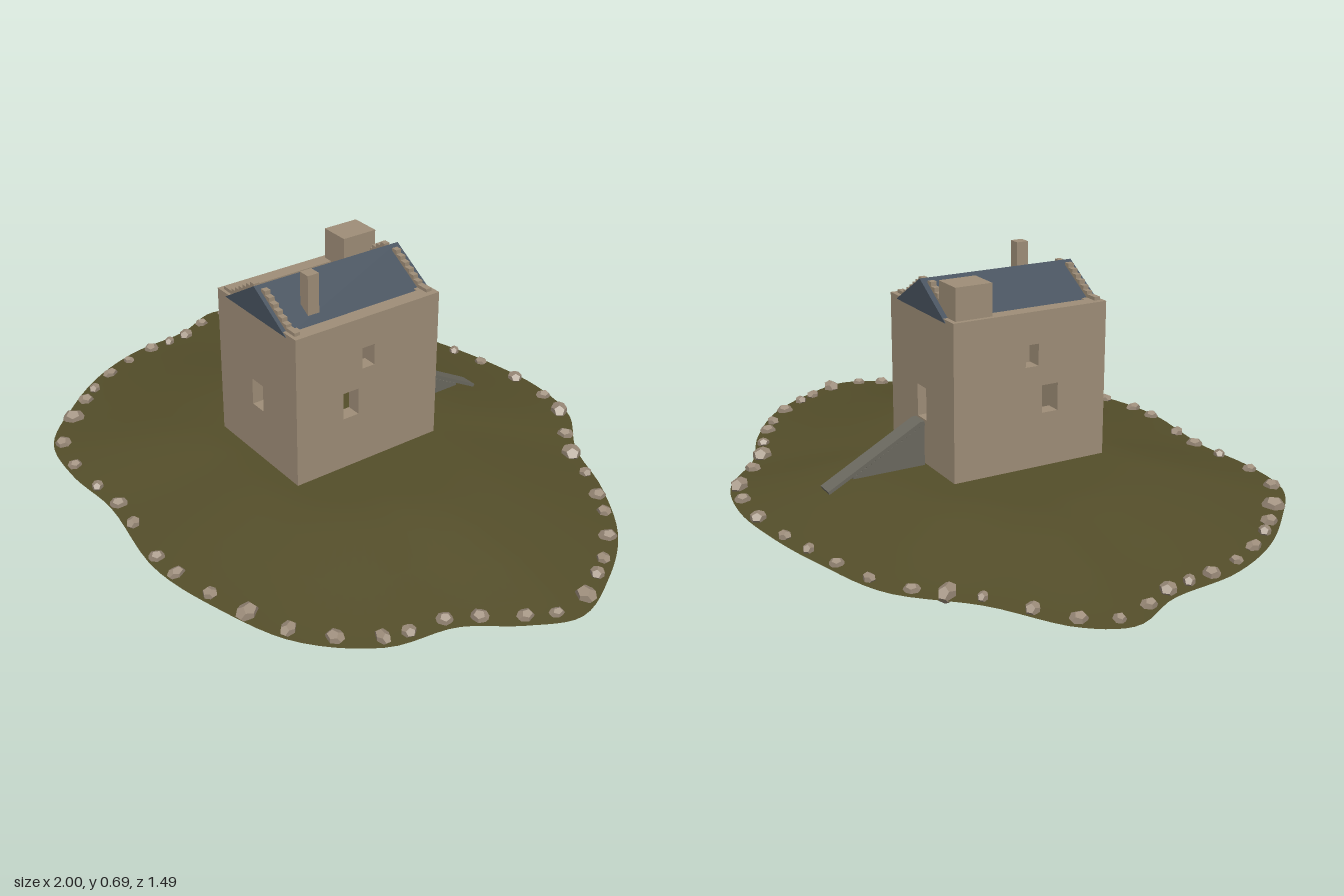
import * as THREE from 'three';

export function createModel() {
  const model = new THREE.Group();
  const mat = (name, color) => {
    const m = new THREE.MeshStandardMaterial({ color });
    m.name = name;
    return m;
  };
  const stone = mat('tan stone', 0x9f8e78);
  const slate = mat('blue slate', 0x47525e);
  const grass = mat('dark grass', 0x544e2a);
  grass.side = THREE.DoubleSide;
  const grey = mat('grey stair stone', 0x6b695f);
  const rock = mat('shore rock', 0x9c8c7a);
  rock.flatShading = true;

  const add = (name, geometry, material, parent = model) => {
    const mesh = new THREE.Mesh(geometry, material);
    mesh.name = name;
    parent.add(mesh);
    return mesh;
  };
  const group = (name) => {
    const g = new THREE.Group();
    g.name = name;
    model.add(g);
    return g;
  };
  // Box given by its lower and upper corners
  const block = (name, x0, x1, y0, y1, z0, z1, material, parent) => {
    const mesh = add(name, new THREE.BoxGeometry(x1 - x0, y1 - y0, z1 - z0), material, parent);
    mesh.position.set((x0 + x1) / 2, (y0 + y1) / 2, (z0 + z1) / 2);
    return mesh;
  };

  // Island mound: open shell with a wavy outline, flat middle sloping to the shore
  const outline = new THREE.CatmullRomCurve3([
    [0.08, -0.75], [0.27, -0.71], [0.43, -0.585], [0.62, -0.50], [0.81, -0.37], [0.93, -0.21],
    [1, -0.04], [0.94, 0.10], [0.845, 0.24], [0.80, 0.43], [0.65, 0.60], [0.43, 0.69],
    [0.19, 0.74], [-0.13, 0.705], [-0.34, 0.72], [-0.53, 0.69], [-0.69, 0.55], [-0.82, 0.39],
    [-0.90, 0.21], [-0.93, 0], [-1, -0.16], [-0.94, -0.28], [-0.74, -0.42], [-0.56, -0.60],
    [-0.34, -0.68], [-0.13, -0.73],
  ].map(([x, z]) => new THREE.Vector3(x, 0, z)), true);
  const N = 144;
  const rim = outline.getPoints(N).slice(0, N);
  const rings = [[0, 0.09], [0.42, 0.09], [0.5, 0.086], [0.6, 0.074], [0.75, 0.052], [0.9, 0.03], [1, 0.021]];
  const positions = [], index = [];
  rings.forEach(([t, y], r) => rim.forEach((p, i) => {
    positions.push(p.x * t, y, p.z * t);
    if (r === rings.length - 1) return;
    const a = r * N + i, b = r * N + (i + 1) % N;
    if (r > 0) index.push(a, b, b + N);
    index.push(a, b + N, a + N);
  }));
  const mound = new THREE.BufferGeometry();
  mound.setAttribute('position', new THREE.Float32BufferAttribute(positions, 3));
  mound.setIndex(index);
  mound.computeVertexNormals();
  add('mound', mound, grass);

  // Shore rocks just inside the outline, a few of them larger
  let seed = 7;
  const rand = () => (seed = (seed * 16807) % 2147483647) / 2147483647;
  const rocks = group('shoreRocks');
  const large = [8, 17, 30, 38, 40, 47];
  for (let i = 0; i < 48; i++) {
    const a = (i / 48) * Math.PI * 2;
    const dir = new THREE.Vector3(0.95 * Math.cos(a), 0, 0.70 * Math.sin(a));
    const shore = rim.reduce((best, p) => (p.angleTo(dir) < best.angleTo(dir) ? p : best));
    const size = 0.017 + 0.006 * rand() + (large.includes(i) ? 0.009 : 0);
    const r = add('rock', new THREE.DodecahedronGeometry(size), rock, rocks);
    r.position.set(shore.x * 0.965, 0.029, shore.z * 0.965);
    r.scale.set(1 + 0.3 * rand(), 0.85, 0.8 + 0.3 * rand());
    r.rotation.y = rand() * 6;
  }

  // Hollow tower walls with openings [u0, u1, y0, y1]
  const X0 = -0.202, X1 = 0.19, Z0 = -0.218, Z1 = 0.276, Y0 = 0.1, Y1 = 0.565, T = 0.045;
  const rect = (path, u0, u1, y0, y1) =>
    path.moveTo(u0, y0).lineTo(u1, y0).lineTo(u1, y1).lineTo(u0, y1).lineTo(u0, y0);
  const wall = (u0, u1, openings) => {
    const shape = new THREE.Shape();
    rect(shape, u0, u1, Y0, Y1);
    for (const o of openings) {
      const hole = new THREE.Path();
      rect(hole, ...o);
      shape.holes.push(hole);
    }
    return new THREE.ExtrudeGeometry(shape, { depth: T, bevelEnabled: false });
  };
  const walls = group('towerWalls');
  add('frontWall', wall(X0, X1, [[-0.033, 0.022, 0.262, 0.345]]), stone, walls).position.z = Z1 - T;
  add('backWall', wall(X0, X1, [[-0.033, 0.022, 0.235, 0.332]]), stone, walls).position.z = Z0;
  for (const x of [X0, X1 - T]) {
    // u runs along -z after the turn
    const side = wall(-Z1 + T, -Z0 - T, [[-0.117, -0.065, 0.262, 0.345], [-0.052, -0.01, 0.405, 0.47]]);
    side.rotateY(Math.PI / 2);
    add('sideWall', side, stone, walls).position.x = x;
  }

  // Slate gable roof
  const RX = -0.006, HALF = 0.153, EAVE = 0.555, RIDGE = 0.648;
  const gable = new THREE.Shape();
  gable.moveTo(RX - HALF, EAVE).lineTo(RX + HALF, EAVE).lineTo(RX, RIDGE).lineTo(RX - HALF, EAVE);
  const roof = new THREE.ExtrudeGeometry(gable, { depth: Z1 - Z0 + 0.004, bevelEnabled: false });
  add('roof', roof, slate).position.z = Z0 - 0.002;

  // Crow steps along both gables, down to the wall heads
  const steps = group('crowSteps');
  for (const z of [0.257, -0.195]) for (const s of [-1, 1]) for (let i = 0; i < 8; i++) {
    const d = 0.028 + i * 0.02;
    const y = Math.max(RIDGE - (RIDGE - EAVE) * d / HALF, 0.562);
    const x = RX + s * d;
    block('crowStep', x - 0.01, x + 0.01, y - 0.014, y + 0.013, z - 0.009, z + 0.009, stone, steps);
  }

  // Corner turret and chimney
  block('capHouse', -0.188, -0.092, 0.555, 0.66, -0.204, -0.09, stone);
  block('chimney', 0.075, 0.112, 0.575, 0.696, 0.143, 0.18, stone);

  // Stair up to the back door: stepped core under a sloping top with a short landing
  const stair = group('backStair');
  const count = 16, run = 0.225 / count;
  for (let i = 0; i < count; i++) {
    const z = -0.225 - i * run;
    block('stairStep', -0.032, 0.021, 0.1, 0.224 - i * 0.0076, z - run, z, grey, stair);
  }
  const slope = new THREE.Shape();
  slope.moveTo(0.224, 0.234).lineTo(0.238, 0.234).lineTo(0.528, 0.077)
    .lineTo(0.524, 0.068).lineTo(0.235, 0.222).lineTo(0.224, 0.222);
  const ramp = new THREE.ExtrudeGeometry(slope, { depth: 0.055, bevelEnabled: false });
  ramp.rotateY(Math.PI / 2);
  add('stairRamp', ramp, grey, stair).position.x = -0.033;

  return model;
}
